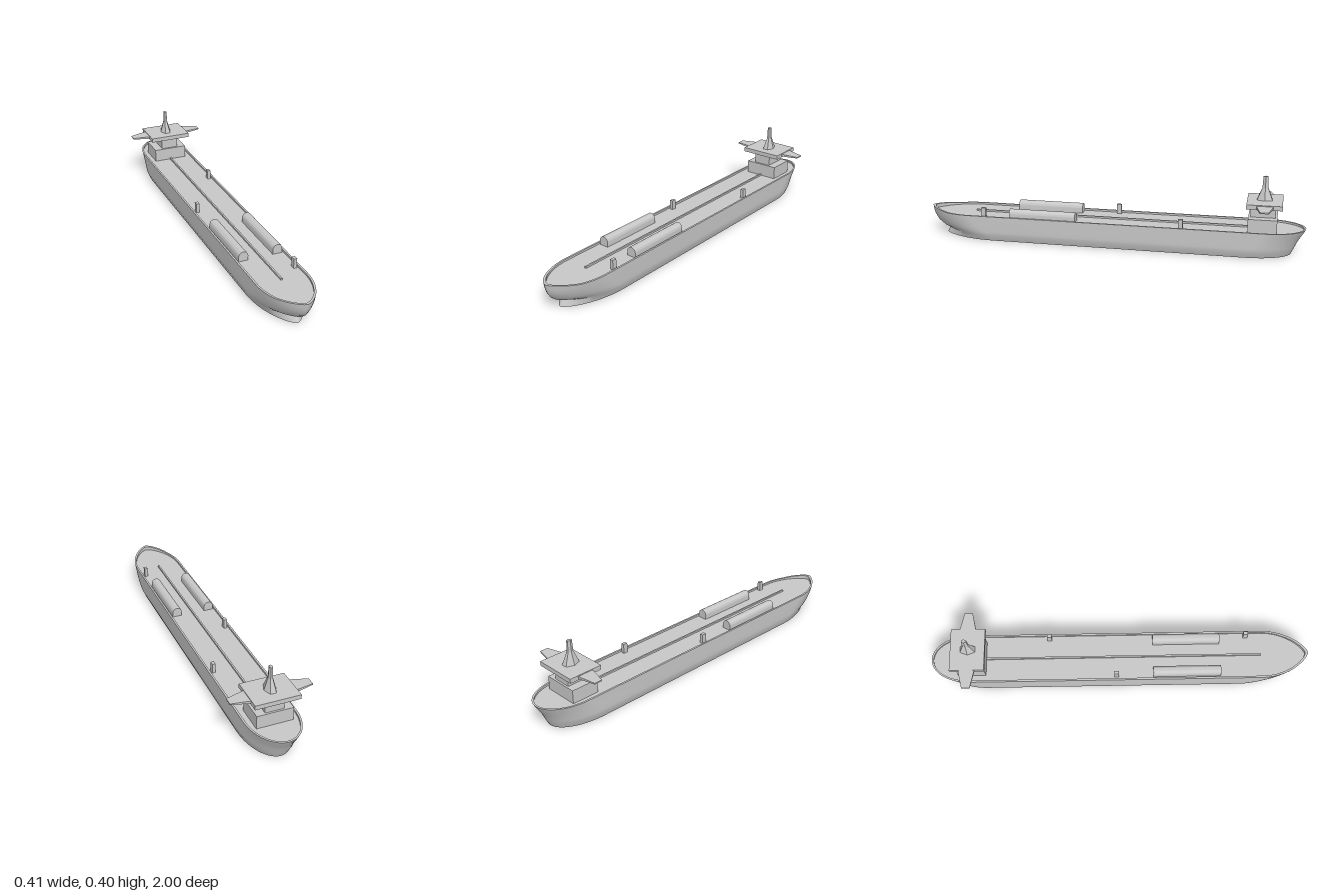
import * as THREE from 'three';
import { toCreasedNormals } from 'three/addons/utils/BufferGeometryUtils.js';

const paint = new THREE.MeshStandardMaterial({ color: 0xc8c8c8 });
paint.name = 'ship grey';

const DECK = 0.125;
const STEPS = 14;

// Closed waterline: bow tip, along +x to the stern, back along -x
function waterline({ y, bow, bowStart, stern, sternStart, half, rise = 0 }) {
  const side = [];
  const push = (x, z) => side.push([x, y + rise * Math.max(0, (z - 0.88) / 0.12), z]);
  for (let i = STEPS; i >= 0; i--) {
    const t = Math.sin((i / STEPS) * Math.PI / 2);
    push(half * Math.max(0, 1 - t * t) ** 0.7, bowStart + (bow - bowStart) * t);
  }
  for (let i = 0; i <= STEPS; i++) {
    const t = Math.sin((i / STEPS) * Math.PI / 2);
    push(half * Math.sqrt(Math.max(0, 1 - t * t)), sternStart + (stern - sternStart) * t);
  }
  const mirrored = side.slice(0, -1).reverse().map(([x, yy, z]) => [-x, yy, z]);
  return [...side, ...mirrored];
}

// Skin between successive rings of equal length
function loft(rings) {
  const n = rings[0].length;
  const index = [];
  for (let i = 0; i < rings.length - 1; i++) {
    for (let j = 0; j < n - 1; j++) {
      const a = i * n + j, c = a + n;
      index.push(a, a + 1, c, a + 1, c + 1, c);
    }
  }
  const g = new THREE.BufferGeometry();
  g.setAttribute('position', new THREE.Float32BufferAttribute(rings.flat(2), 3));
  g.setIndex(index);
  return toCreasedNormals(g, 0.6);
}

function hullGeometry() {
  const levels = [
    { y: 0, bow: 0.922, bowStart: 0.62, stern: -0.93, sternStart: -0.7, half: 0.118 },
    { y: 0.032, bow: 0.905, bowStart: 0.64, stern: -0.945, sternStart: -0.71, half: 0.131 },
    { y: 0.048, bow: 0.945, bowStart: 0.66, stern: -0.952, sternStart: -0.72, half: 0.132 },
    { y: 0.07, bow: 0.972, bowStart: 0.69, stern: -0.962, sternStart: -0.735, half: 0.132 },
    { y: 0.1, bow: 0.99, bowStart: 0.72, stern: -0.98, sternStart: -0.76, half: 0.132 },
    { y: 0.12, bow: 0.996, bowStart: 0.74, stern: -0.993, sternStart: -0.78, half: 0.132 },
    { y: 0.135, bow: 1, bowStart: 0.75, stern: -1, sternStart: -0.8, half: 0.132, rise: 0.012 },
    // inner side of the bulwark
    { y: 0.135, bow: 0.985, bowStart: 0.75, stern: -0.99, sternStart: -0.8, half: 0.122, rise: 0.012 },
    { y: DECK, bow: 0.985, bowStart: 0.75, stern: -0.99, sternStart: -0.8, half: 0.122 },
  ];
  const rings = levels.map(waterline);
  const keel = rings[0].map(([, y, z]) => [0, y, z]);
  const deck = rings[rings.length - 1].map(([, y, z]) => [0, y, z]);
  return loft([keel, ...rings, deck]);
}

// Half-round tank profile running along z
function tankGeometry(radius, height, length) {
  const s = new THREE.Shape();
  s.moveTo(-radius, 0);
  s.lineTo(radius, 0);
  s.lineTo(radius, height - radius);
  s.absarc(0, height - radius, radius, 0, Math.PI, false);
  s.closePath();
  const g = new THREE.ExtrudeGeometry(s, { depth: length, bevelEnabled: false, curveSegments: 14 });
  return toCreasedNormals(g, 0.5);
}

// Box whose end on one side of x (dir = +1 or -1) is scaled in y and z
function wingGeometry(length, dir) {
  const g = new THREE.BoxGeometry(length, 0.014, 0.085);
  const p = g.attributes.position;
  for (let i = 0; i < p.count; i++) {
    if (p.getX(i) * dir > 0) p.setXYZ(i, p.getX(i), p.getY(i) * 0.45 - 0.001, p.getZ(i) * 0.5);
  }
  return g.toNonIndexed().computeVertexNormals() || g;
}

export function createModel() {
  const ship = new THREE.Group();
  ship.name = 'tanker';

  const add = (name, geometry, x = 0, y = 0, z = 0) => {
    const m = new THREE.Mesh(geometry, paint);
    m.name = name;
    m.position.set(x, y, z);
    ship.add(m);
    return m;
  };
  const box = (name, w, y0, y1, z0, z1, x = 0) =>
    add(name, new THREE.BoxGeometry(w, y1 - y0, z1 - z0), x, (y0 + y1) / 2, (z0 + z1) / 2);

  add('hull', hullGeometry());

  // Deck fittings
  box('deckPipe', 0.009, DECK - 0.002, DECK + 0.009, -0.71, 0.75);
  for (const side of [-1, 1]) {
    add('deckTank', tankGeometry(0.025, 0.05, 0.355), side * 0.09, DECK - 0.001, 0.175);
  }
  for (const [x, z] of [[0.105, -0.375], [-0.105, -0.02], [0.105, 0.672]]) {
    box('deckPost', 0.017, DECK - 0.002, 0.176, z - 0.012, z + 0.012, x);
  }

  // Superstructure
  box('deckHouse', 0.184, DECK - 0.002, 0.194, -0.855, -0.71);
  const tower = box('tower', 0.094, 0.193, 0.253, -0.845, -0.72);
  const tp = tower.geometry.attributes.position;
  for (let i = 0; i < tp.count; i++) if (tp.getY(i) > 0) tp.setX(i, tp.getX(i) * 1.05);
  box('bridge', 0.226, 0.252, 0.275, -0.878, -0.7);
  for (const side of [-1, 1]) {
    add('bridgeWing', wingGeometry(0.095, side), side * 0.157, 0.264, -0.791);
  }

  // Six-sided mast, steep base and slim top
  const mast = (name, rTop, rBase, y0, y1) => {
    const g = new THREE.CylinderGeometry(rTop, rBase, y1 - y0, 6).rotateY(Math.PI / 6);
    const m = add(name, toCreasedNormals(g.scale(1, 1, 1.5), 0.3), 0, (y0 + y1) / 2, -0.787);
    return m;
  };
  mast('mastBase', 0.0115, 0.03, 0.274, 0.338);
  mast('mastTop', 0.0095, 0.0115, 0.338, 0.397);

  return ship;
}
